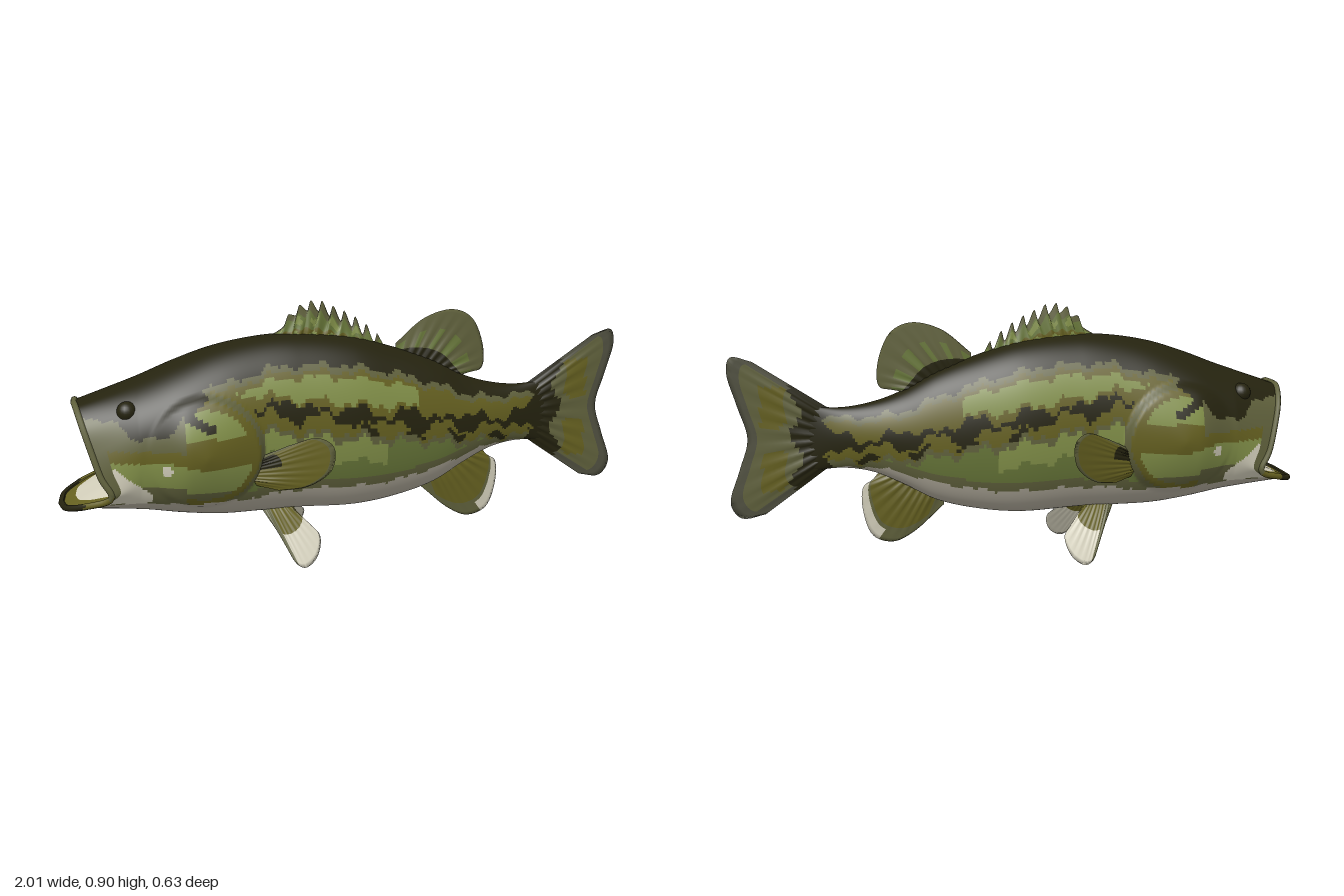
import * as THREE from 'three';

const colours = {
  darkBack: 0x25230f, greyOlive: 0x60613c, yellowOlive: 0x656020, leafGreen: 0x818f48,
  moss: 0x667538, belly: 0xaca697, cream: 0xd2ceba, finGrey: 0x505040,
};
const names = Object.keys(colours);
const mats = names.map((name) => new THREE.MeshStandardMaterial({ name, color: colours[name], side: THREE.DoubleSide }));
const [DARK, GREY, YELLOW, GREEN, MOSS, BELLY, CREAM, FIN] = names.map((_, i) => i);

// Smooth interpolation of column c of a table keyed by its first column
function at(t, x, c = 1) {
  let i = 0;
  while (i < t.length - 2 && x > t[i + 1][0]) i++;
  const h = t[i + 1][0] - t[i][0];
  const k = THREE.MathUtils.clamp((x - t[i][0]) / h, 0, 1);
  const slope = (j) => {
    const a = t[Math.max(j - 1, 0)], b = t[Math.min(j + 1, t.length - 1)];
    return (b[c] - a[c]) / (b[0] - a[0]);
  };
  const k2 = k * k, k3 = k2 * k;
  return (2 * k3 - 3 * k2 + 1) * t[i][c] + (k3 - 2 * k2 + k) * h * slope(i)
    + (3 * k2 - 2 * k3) * t[i + 1][c] + (k3 - k2) * h * slope(i + 1);
}

// Grid surface whose faces are sorted into one group per colour
function surface(name, nu, nv, wrap, point, colour) {
  const pos = [], faces = mats.map(() => []);
  const cols = wrap ? nu : nu + 1;
  for (let j = 0; j <= nv; j++) for (let i = 0; i < cols; i++) pos.push(...point(i / nu, j / nv));
  for (let j = 0; j < nv; j++) for (let i = 0; i < nu; i++) {
    const a = j * cols + i, b = j * cols + (i + 1) % cols, c = a + cols, d = b + cols;
    const u = (i + 0.5) / nu, v = (j + 0.5) / nv;
    faces[colour(point(u, v), u, v)].push(a, c, b, b, c, d);
  }
  const geo = new THREE.BufferGeometry();
  geo.setAttribute('position', new THREE.Float32BufferAttribute(pos, 3));
  geo.setIndex(faces.flat());
  let start = 0;
  faces.forEach((f, m) => {
    if (f.length) geo.addGroup(start, f.length, m);
    start += f.length;
  });
  geo.computeVertexNormals();
  const mesh = new THREE.Mesh(geo, mats);
  mesh.name = name;
  return mesh;
}

// Body stations: x, top, bottom, half width
const stations = [
  [-0.84, 0.625, 0.228, 0.18], [-0.72, 0.668, 0.215, 0.2], [-0.6, 0.715, 0.195, 0.215],
  [-0.47, 0.757, 0.178, 0.207], [-0.33, 0.782, 0.175, 0.19], [-0.2, 0.788, 0.175, 0.18],
  [0, 0.768, 0.168, 0.17], [0.15, 0.725, 0.185, 0.148], [0.3, 0.67, 0.225, 0.12],
  [0.42, 0.607, 0.29, 0.092], [0.52, 0.575, 0.335, 0.067], [0.62, 0.562, 0.352, 0.042], [0.73, 0.57, 0.345, 0.012],
];
// Half outline of the open mouth, upper lip to chin
const rim = new THREE.CatmullRomCurve3([
  [-0.94, 0.59, 0], [-0.935, 0.585, 0.06], [-0.92, 0.535, 0.115], [-0.895, 0.45, 0.15], [-0.87, 0.37, 0.17],
  [-0.84, 0.305, 0.178], [-0.92, 0.272, 0.145], [-0.985, 0.25, 0.08], [-1, 0.243, 0],
].map((p) => new THREE.Vector3(...p)));

function rimPoint(u) {
  const p = rim.getPoint(1 - Math.abs(1 - 2 * u));
  return [p.x, p.y, u > 0.5 ? -p.z : p.z];
}
const gill = (x, y) => Math.hypot((x + 0.53) / 0.2, (y - 0.435) / 0.2);

// Point on the trunk, with the raised gill cover
function trunk(x, u) {
  const a = u * Math.PI * 2, s = Math.sin(a), c = Math.cos(a);
  const top = at(stations, x, 1), bottom = at(stations, x, 2);
  const y = (top + bottom) / 2 + (top - bottom) / 2 * c;
  const full = Math.pow(Math.abs(s), c > 0 ? 0.95 : 0.7);
  const d = gill(x, y);
  const bump = (1 - THREE.MathUtils.smoothstep(d, 0.9, 1)) * THREE.MathUtils.smoothstep(x, -0.74, -0.58) * (0.022 + 0.022 * (1 - d));
  return [x, y, Math.sign(s) * (at(stations, x, 3) * full + bump * Math.abs(s))];
}
const FRONT = 0.12, NECK = -0.74;
function bodyPoint(u, v) {
  if (v >= FRONT) return trunk(NECK + (v - FRONT) / (1 - FRONT) * (0.73 - NECK), u);
  const a = rimPoint(u), b = trunk(NECK, u), k = v / FRONT;
  return a.map((n, i) => n + (b[i] - n) * k);
}

// Colour boundaries along the body
const backLine = [[-0.45, 0.66], [-0.3, 0.7], [-0.1, 0.7], [0.1, 0.665], [0.3, 0.6], [0.45, 0.545], [0.73, 0.53]];
const sideLine = [[-0.4, 0.585], [-0.2, 0.555], [0, 0.525], [0.2, 0.495], [0.45, 0.455], [0.73, 0.435]];
const bellyLine = [[-1, 0.262], [-0.5, 0.25], [-0.2, 0.275], [0.1, 0.27], [0.3, 0.305], [0.5, 0.355], [0.73, 0.35]];
const headLine = [[-1, 0.55], [-0.85, 0.56], [-0.74, 0.5], [-0.66, 0.515], [-0.56, 0.6], [-0.42, 0.66]];

function headColour(x, y, d) {
  if (y > at(headLine, x) + 0.01 * Math.sin(x * 60)) return DARK;
  if (Math.hypot(x + 0.66, y - 0.395) < 0.017) return CREAM;
  if (x < -0.71 && y < 0.42 - (x + 0.85) * 0.8 && y > 0.27) return CREAM;
  if (y < at(bellyLine, x) + 0.012) return BELLY;
  if (x < -0.6) return y > 0.46 ? GREY : y > 0.42 ? YELLOW : y > 0.33 ? GREEN : GREY;
  if (d > 0.9) return GREY;
  if (Math.abs(y - 0.55 - 0.02 * Math.sin(x * 40)) < 0.016 && x < -0.5) return DARK;
  if (d > 0.78) return YELLOW;
  return y > 0.5 ? GREEN : y > 0.4 ? YELLOW : y > 0.31 ? GREEN : GREY;
}
function bodyColour([x, y], u, v) {
  if (v < FRONT * 0.3) return y > 0.56 || x < -0.94 ? DARK : GREY;
  const d = gill(x, y);
  if (x < -0.53 || d < 1) return headColour(x, y, d);
  const wave = 0.008 * Math.sin(x * 41 + 1) + 0.006 * Math.sin(x * 97);
  if (x > 0.67 + 0.02 * Math.sin(y * 50)) return DARK;
  if (y < at(bellyLine, x) + wave * 0.5) return BELLY;
  const back = at(backLine, x) + wave - y, side = y - at(sideLine, x) - wave * 1.6;
  if (back < 0) return DARK;
  if (Math.abs(side) < 0.02 + 0.014 * Math.sin(x * 29 + 2) && x > -0.36) return DARK;
  if (Math.abs(side + 0.05) < 0.016 * Math.sin(x * 38) && x > 0) return DARK;
  if (side > 0) {
    if (back < 0.02) return GREY;
    return x < 0.22 && back > 0.038 && side > 0.042 ? GREEN : YELLOW;
  }
  if (side > -0.065) return YELLOW;
  if (y < at(bellyLine, x) + 0.03) return GREY;
  return side < -0.085 && x < 0.55 ? (x < 0.1 && side > -0.16 ? GREEN : MOSS) : GREY;
}

// Thin tapered fin between a root line and an outer edge, folded over the edge
function fin(name, root, edge, thick, bend, colour, steps = 40) {
  const curve = (pts) => new THREE.CatmullRomCurve3(pts.map(([x, y]) => new THREE.Vector3(x, y, 0)));
  const a = curve(root), b = curve(edge);
  return surface(name, steps, 32, false, (u, w) => {
    const v = 1 - Math.abs(1 - 2 * w);
    const p = a.getPoint(u).lerp(b.getPoint(u), v);
    const t = thick * Math.min(1, 5 * Math.min(u, 1 - u)) * Math.min(1, (1 - v) * 1.3) * (1 + 0.25 * Math.cos(u * 70));
    return [p.x, p.y, bend(p.x, p.y) + (w < 0.5 ? t : -t)];
  }, (p, u, w) => colour(u, 1 - Math.abs(1 - 2 * w), p));
}

export function createModel() {
  const fish = new THREE.Group();
  fish.name = 'fish';
  const flat = () => 0;
  fish.add(surface('body', 128, 200, true, bodyPoint, bodyColour));

  // Mouth cavity and lips
  const throat = [-0.62, 0.42, 0];
  fish.add(surface('mouthLining', 96, 16, true, (u, v) => rimPoint(u).map((n, i) => n + (throat[i] - n) * v),
    (p, u, v) => (v < 0.15 ? YELLOW : v > 0.85 ? GREY : CREAM)));
  const loop = new THREE.CatmullRomCurve3(Array.from({ length: 48 }, (_, i) => new THREE.Vector3(...rimPoint(i / 48))), true);
  const frames = loop.computeFrenetFrames(96, true);
  fish.add(surface('lips', 96, 8, true, (u, v) => {
    const i = Math.round(u * 96) % 96, a = v * Math.PI * 2;
    return loop.getPointAt(u).addScaledVector(frames.normals[i], 0.011 * Math.cos(a))
      .addScaledVector(frames.binormals[i], 0.011 * Math.sin(a)).toArray();
  }, ([x, y]) => (y < 0.3 && x < -0.93 ? DARK : y < 0.3 ? YELLOW : GREY)));

  // Tail fin
  fish.add(fin('tailFin', [[0.66, 0.36], [0.68, 0.46], [0.66, 0.56]],
    [[0.885, 0.2], [0.965, 0.19], [1, 0.24], [0.965, 0.36], [0.935, 0.465], [0.965, 0.58], [0.995, 0.7], [0.98, 0.745], [0.91, 0.728]],
    0.014, flat, (u, v, [x, y]) => {
      if (x < 0.775 + 0.02 * Math.cos(y * 40)) return DARK;
      if (u < 0.1 || u > 0.9 || v > 0.86) return FIN;
      return Math.abs(x - 0.85) < 0.04 && Math.abs(y - 0.46) > 0.04 && Math.abs(y - 0.46) < 0.18 ? YELLOW : GREY;
    }));

  // Spiny first dorsal fin
  const crest = [[-0.24, 0.8], [-0.2, 0.865], [-0.12, 0.9], [-0.04, 0.87], [0.04, 0.825], [0.13, 0.75]];
  const spines = [[-0.27, 0.785]];
  for (let i = 0; i < 9; i++) {
    const x = -0.21 + i * 0.039;
    spines.push([x - 0.012, at(crest, x) - 0.035], [x, at(crest, x)]);
  }
  fish.add(fin('spinyDorsalFin', [[-0.27, 0.77], [-0.1, 0.765], [0.14, 0.705]], spines, 0.014, flat,
    (u, v) => (v > 0.75 ? GREY : Math.sin(u * 35) + Math.sin(v * 14) > 0.9 ? GREEN : v < 0.3 ? YELLOW : MOSS), 90));

  // Soft second dorsal fin
  fish.add(fin('softDorsalFin', [[0.17, 0.7], [0.3, 0.65], [0.42, 0.595]],
    [[0.17, 0.735], [0.275, 0.82], [0.38, 0.845], [0.45, 0.81], [0.495, 0.69], [0.485, 0.625], [0.41, 0.622]],
    0.013, flat, (u, v) => (v < 0.25 ? DARK : v < 0.6 && Math.sin(u * 40) > 0.3 ? MOSS : GREY)));

  // Anal fin
  fish.add(fin('analFin', [[0.27, 0.24], [0.38, 0.28], [0.49, 0.335]],
    [[0.27, 0.2], [0.38, 0.105], [0.45, 0.075], [0.52, 0.1], [0.555, 0.2], [0.55, 0.28], [0.52, 0.3]],
    0.012, flat, (u, v) => (u > 0.45 && v > 0.84 ? CREAM : v > 0.72 || u < 0.1 ? GREY : YELLOW)));

  for (const side of [1, -1]) {
    const label = side > 0 ? 'left' : 'right';
    // Pectoral fin, swept out behind the gill
    fish.add(fin(label + 'PectoralFin', [[-0.37, 0.4], [-0.38, 0.36], [-0.36, 0.31]],
      [[-0.26, 0.46], [-0.17, 0.495], [-0.125, 0.47], [-0.13, 0.39], [-0.2, 0.325], [-0.29, 0.3]],
      0.01, (x) => side * (0.175 + (x + 0.36) * 0.58),
      (u, v) => (u < 0.12 ? GREY : v < 0.35 && u < 0.5 ? DARK : v > 0.93 ? GREY : YELLOW)));
    // Pelvic fin, splayed below the belly
    fish.add(fin(label + 'PelvicFin', [[-0.34, 0.21], [-0.28, 0.215], [-0.22, 0.2]],
      [[-0.27, 0.1], [-0.225, 0.015], [-0.195, 0.003], [-0.15, 0.035], [-0.135, 0.1], [-0.19, 0.14]],
      0.01, (x, y) => side * (0.06 + 0.13 * Math.pow(Math.max(0, (0.2 - y) / 0.2), 0.85)),
      (u, v) => (u < 0.25 ? GREY : v > 0.48 ? CREAM : YELLOW)));
    // Eye
    const eye = new THREE.Mesh(new THREE.SphereGeometry(0.034, 20, 14), mats[DARK]);
    eye.name = label + 'Eye';
    eye.position.set(-0.775, 0.58, side * 0.122);
    fish.add(eye);
  }
  return fish;
}
